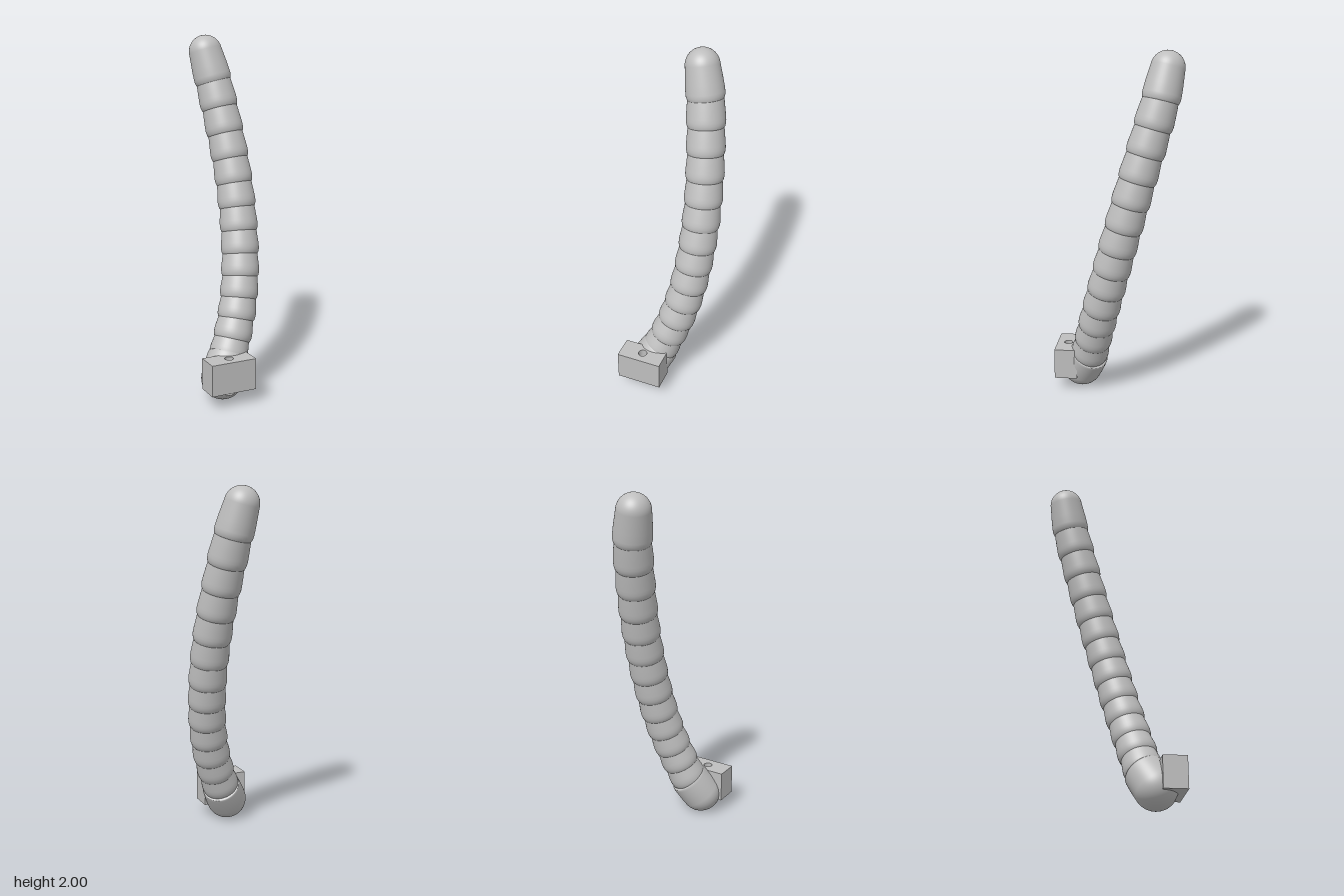
import * as THREE from 'three';

const V = (x, y, z) => new THREE.Vector3(x, y, z);

// Lathe a [radius, height] profile and stand it along the line from one point to another
function lathed(profile, from, to, sides = 48) {
  const geo = new THREE.LatheGeometry(profile.map(([r, h]) => new THREE.Vector2(r, h)), sides);
  const dir = to.clone().sub(from).normalize();
  geo.applyQuaternion(new THREE.Quaternion().setFromUnitVectors(V(0, 1, 0), dir));
  geo.translate(from.x, from.y, from.z);
  return geo;
}

export function createModel() {
  const group = new THREE.Group();
  const grey = new THREE.MeshStandardMaterial({ color: 0xbebebe });
  const add = (name, geo) => {
    const mesh = new THREE.Mesh(geo, grey);
    mesh.name = name;
    group.add(mesh);
  };

  // Curved centre line from the collar up to the tip
  const path = new THREE.CatmullRomCurve3([
    V(-0.045, 0.215, 0.17), V(0.028, 0.4, 0.124), V(0.081, 0.6, 0.072), V(0.109, 0.8, 0.019),
    V(0.121, 1.0, -0.035), V(0.12, 1.2, -0.09), V(0.106, 1.4, -0.146), V(0.084, 1.6, -0.203),
    V(0.065, 1.74, -0.241),
  ]);

  // Overlapping segments, longer towards the tip: each swells to a rounded lower lip
  const count = 12;
  const joint = (i) => path.getPointAt((i / count) * (0.83 + 0.17 * (i / count)));
  for (let i = 0; i < count; i++) {
    const a = joint(i), b = joint(i + 1);
    const len = a.distanceTo(b);
    const r = 0.109;
    const profile = [
      [r - 0.022, -0.018], [r - 0.012, -0.013], [r - 0.005, -0.003], [r - 0.001, 0.014], [r, 0.03],
      [r - 0.001, 0.05], [r - 0.005, len * 0.65], [r - 0.01, len], [r - 0.013, len + 0.02],
    ];
    add('segment' + (i + 1), lathed(profile, a, b));
  }

  // Rounded tip
  const tipStart = joint(count), tipCentre = V(0.031, 1.905, -0.275);
  const tipLen = tipStart.distanceTo(tipCentre);
  const tip = [[0.087, -0.018], [0.097, -0.013], [0.103, -0.003], [0.107, 0.014], [0.107, 0.03], [0.104, 0.08]];
  for (let k = 0; k <= 16; k++) {
    const t = (k / 16) * Math.PI / 2;
    tip.push([0.095 * Math.cos(t), tipLen + 0.095 * Math.sin(t)]);
  }
  add('tip', lathed(tip, tipStart, tipCentre));

  // Ball-ended base narrowing to a collar rim
  const ball = V(-0.1, 0.119, 0.219), collar = joint(0);
  const collarH = ball.distanceTo(collar) + 0.006;
  const base = [];
  for (let k = 0; k <= 90; k++) {
    const t = -Math.PI / 2 + (k / 90) * Math.PI / 2;
    base.push([0.119 * Math.cos(t), 0.119 * Math.sin(t)]);
  }
  for (let k = 1; k <= 12; k++) base.push([0.119 - 0.006 * (k / 12) ** 2, collarH * k / 12]);
  base.push([0.11, collarH + 0.005], [0.085, collarH + 0.007]);
  const baseGeo = lathed(base, ball, collar, 256);
  // Cut the ball back where the bolt hole passes
  const p = baseGeo.attributes.position;
  for (let i = 0; i < p.count; i++) {
    const y = p.getY(i), dx = Math.abs(p.getX(i) + 0.1);
    if (y > 0.09 && y < 0.25 && dx < 0.045) p.setZ(i, Math.min(p.getZ(i), 0.276));
    else if (y > 0.054 && y <= 0.09 && dx < 0.025) {
      p.setZ(i, Math.min(p.getZ(i), 0.303 - Math.sqrt(0.025 ** 2 - dx ** 2)));
    }
  }
  baseGeo.computeVertexNormals();
  add('base', baseGeo);

  // Mounting block with a vertical bolt hole
  const shape = new THREE.Shape([[-0.233, -0.369], [0.032, -0.369], [0.032, -0.237], [-0.233, -0.237]]
    .map(([x, y]) => new THREE.Vector2(x, y)));
  const hole = new THREE.Path();
  hole.absarc(-0.1, -0.303, 0.025, 0, Math.PI * 2, true);
  shape.holes.push(hole);
  const block = new THREE.ExtrudeGeometry(shape, { depth: 0.177, bevelEnabled: false, curveSegments: 24 });
  block.rotateX(-Math.PI / 2);
  block.translate(0, 0.084, 0);
  add('mountingBlock', block);

  return group;
}
